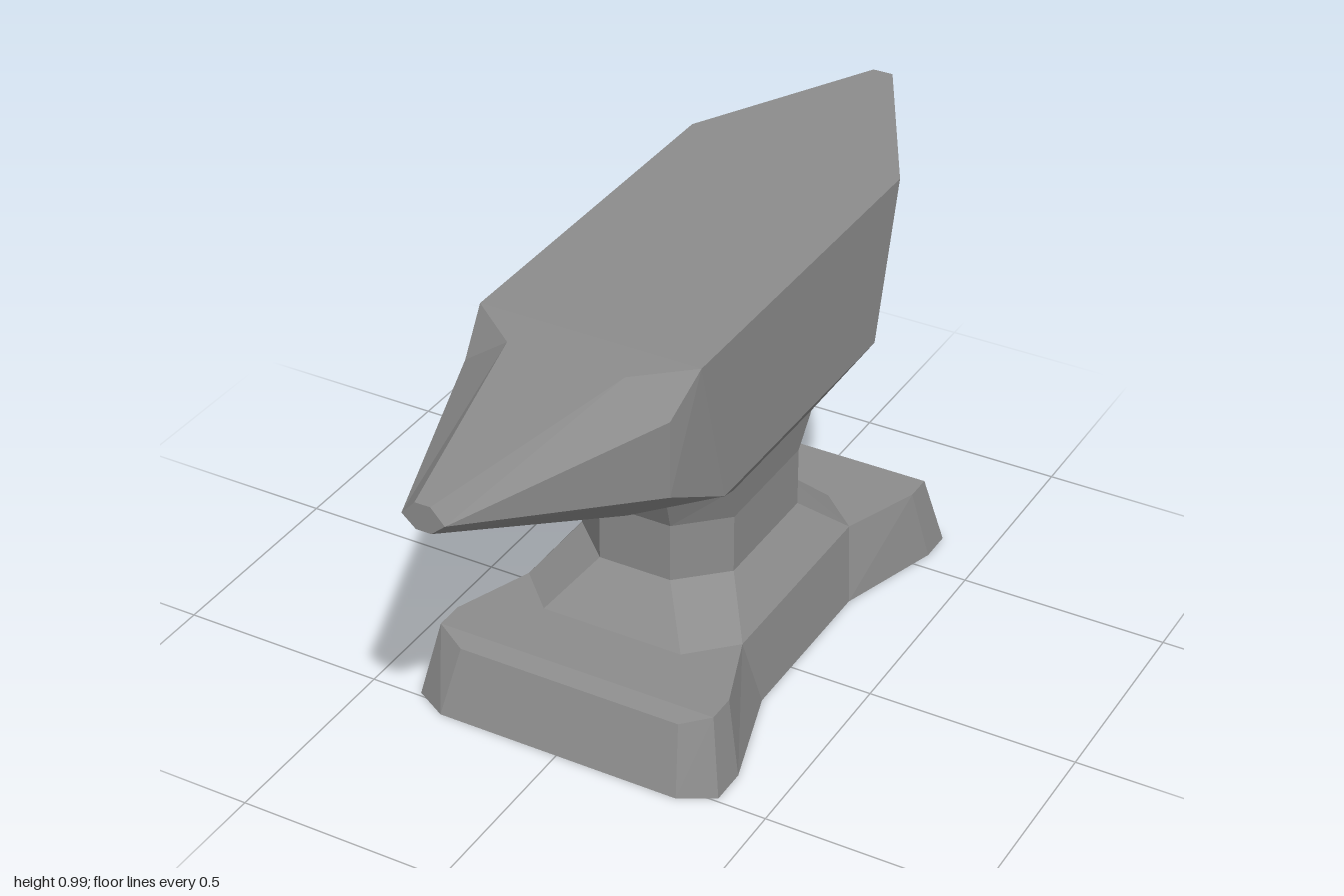
import * as THREE from 'three';

const iron = new THREE.MeshStandardMaterial({ color: 0x8c8c8c });
iron.name = 'iron grey';

const mirror = ([x, y, z]) => [-x, y, z];

// Collects faces of a part that is symmetric about x = 0
class Part {
  constructor() { this.pos = []; }
  tri(a, b, c) {
    const [A, B, C] = [a, b, c].map((p) => new THREE.Vector3(...p));
    if (B.sub(A).cross(C.sub(A)).length() > 1e-7) this.pos.push(...a, ...b, ...c);
  }
  // quad on the +x half plus its mirror image
  quad(a, b, c, d) {
    this.tri(a, b, c);
    this.tri(a, c, d);
    const [ma, mb, mc, md] = [a, b, c, d].map(mirror);
    this.tri(ma, mc, mb);
    this.tri(ma, md, mc);
  }
  // quad spanning the centre line from edge p-q to its mirror image
  across(p, q) {
    this.tri(p, q, mirror(q));
    this.tri(p, mirror(q), mirror(p));
  }
  // walls between stacked half rings, each listed front to back
  loft(rings) {
    for (let k = 0; k + 1 < rings.length; k++) {
      const L = rings[k], U = rings[k + 1], n = L.length - 1;
      for (let i = 0; i < n; i++) this.quad(L[i], L[i + 1], U[i + 1], U[i]);
      this.across(L[0], U[0]);
      this.across(U[n], L[n]);
    }
  }
  capTop(ring) {
    for (let i = 0; i + 1 < ring.length; i++) this.across(ring[i], ring[i + 1]);
  }
  capBottom(ring) {
    for (let i = 0; i + 1 < ring.length; i++) this.across(ring[i + 1], ring[i]);
  }
  mesh(name) {
    const g = new THREE.BufferGeometry();
    g.setAttribute('position', new THREE.Float32BufferAttribute(this.pos, 3));
    g.computeVertexNormals();
    const m = new THREE.Mesh(g, iron);
    m.name = name;
    return m;
  }
}

// Waisted foot with chamfered corners and bevelled ends
function makeBase() {
  const foot = [[0.30, 0, 0.535], [0.38, 0, 0.49], [0.38, 0, 0.40], [0.30, 0, 0.14],
    [0.30, 0, -0.29], [0.38, 0, -0.55], [0.38, 0, -0.63], [0.30, 0, -0.67]];
  const top = [[0.275, 0.155, 0.48], [0.345, 0.18, 0.45], [0.345, 0.18, 0.38], [0.275, 0.18, 0.19],
    [0.275, 0.18, -0.33], [0.345, 0.18, -0.52], [0.345, 0.18, -0.585], [0.275, 0.155, -0.61]];
  const part = new Part();
  part.loft([foot, top]);
  part.capTop(top);
  part.capBottom(foot);
  return part.mesh('base');
}

// Half ring of an octagon: inner x, outer x, height, then z of the four corners
const ring = (xi, xo, y, z0, z1, z2, z3) => [[xi, y, z0], [xo, y, z1], [xo, y, z2], [xi, y, z3]];

// Eight-sided waist flaring into the base and the body
function makeWaist(bodyRing) {
  const part = new Part();
  part.loft([
    ring(0.175, 0.275, 0.18, 0.29, 0.19, -0.33, -0.42),
    ring(0.09, 0.195, 0.285, 0.185, 0.085, -0.22, -0.32),
    ring(0.09, 0.195, 0.43, 0.185, 0.085, -0.22, -0.32),
    ring(0.105, 0.21, 0.525, 0.23, 0.12, -0.25, -0.38),
    bodyRing,
  ]);
  return part.mesh('waist');
}

// Half cross-sections from horn tip to heel, each listed top to bottom
const sections = [
  [[0.018, 0.943, 1], [0.05, 0.908, 1], [0.05, 0.908, 1], [0.018, 0.88, 1]],
  [[0.14, 0.98, 0.46], [0.245, 0.905, 0.46], [0.245, 0.72, 0.46], [0.14, 0.64, 0.46]],
  [[0.265, 0.987, 0.365], [0.265, 0.987, 0.365], [0.265, 0.612, 0.26], [0.155, 0.612, 0.365]],
  [[0.265, 0.987, -0.55], [0.265, 0.987, -0.55], [0.265, 0.612, -0.45], [0.175, 0.66, -0.62]],
  [[0.025, 0.987, -1], [0.025, 0.987, -1], [0.025, 0.885, -1], [0.025, 0.885, -1]],
];

// Working face, horn and heel
function makeBody() {
  const part = new Part();
  for (let i = 0; i < 4; i++) {
    const f = sections[i], b = sections[i + 1];
    const open = i === 2; // the waist closes the underside here
    for (let j = 0; j < (open ? 2 : 3); j++) part.quad(f[j + 1], b[j + 1], b[j], f[j]);
    if (!open) part.across(b[3], f[3]);
  }
  part.capTop(sections.map((s) => s[0]));
  const [tip, heel] = [sections[0], sections[4]];
  part.across(tip[3], tip[1]);
  part.across(tip[1], tip[0]);
  part.across(heel[0], heel[3]);
  return part.mesh('hornAndFace');
}

export function createModel() {
  const model = new THREE.Group();
  model.name = 'anvil';
  const [, , s2, s3] = sections;
  model.add(makeBase(), makeWaist([s2[3], s2[2], s3[2], s3[3]]), makeBody());
  return model;
}
